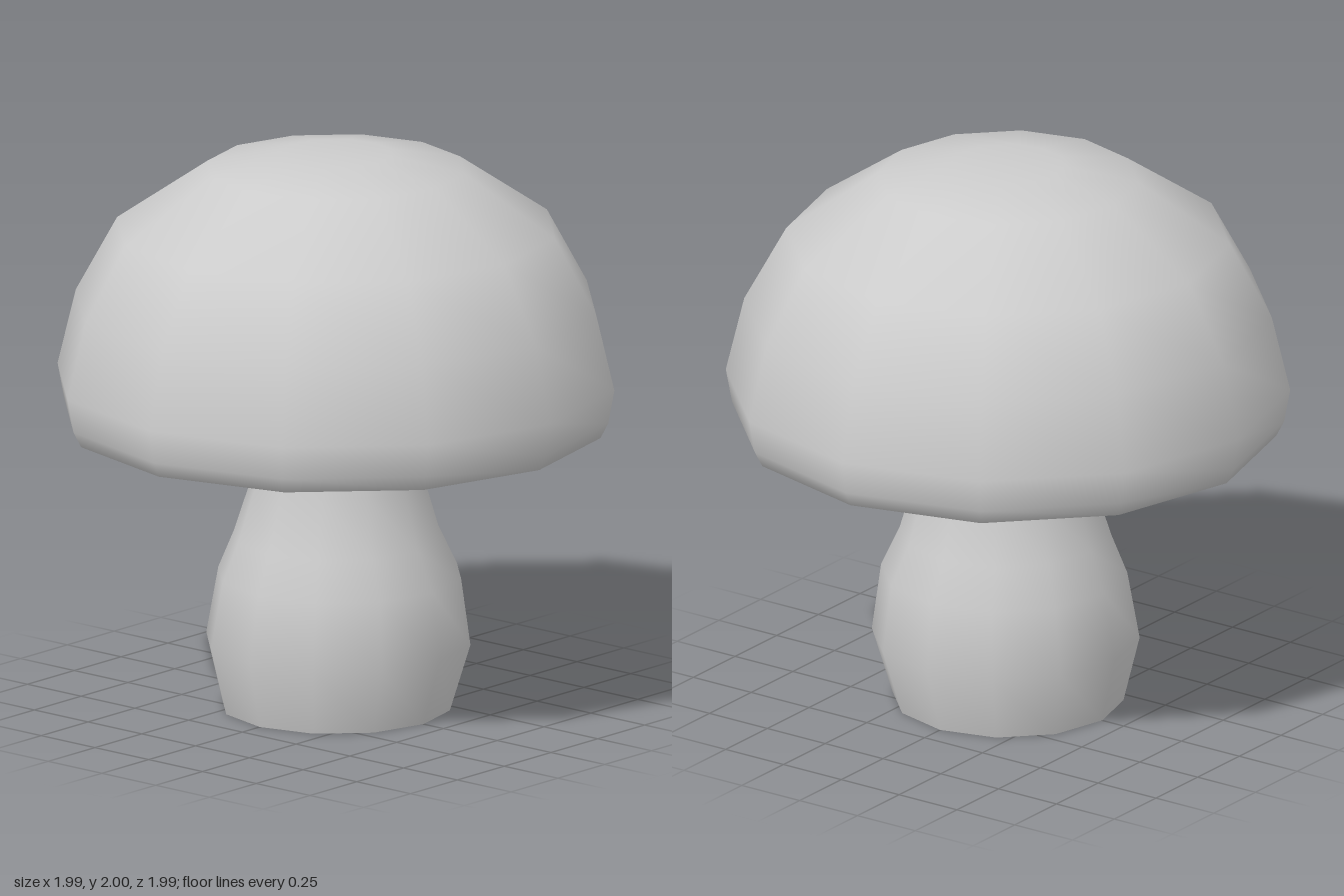
import * as THREE from 'three';

const SIDES = 12;

// Smooth-shaded 12-sided turned form from [radius, height] pairs, bottom to top
function turned(name, profile, material) {
  const points = profile.map(([r, y]) => new THREE.Vector2(r, y));
  const mesh = new THREE.Mesh(new THREE.LatheGeometry(points, SIDES), material);
  mesh.name = name;
  return mesh;
}

export function createModel() {
  const group = new THREE.Group();
  group.name = 'mushroom';
  const material = new THREE.MeshStandardMaterial({ color: 0xcccccc, side: THREE.DoubleSide });

  // Cap: hollowed underside, rolled rim, dome with a flattened crown
  const cap = turned('cap', [
    [0.25, 1.16], [0.885, 1.0], [0.945, 1.015], [0.973, 1.07],
    [0.995, 1.19], [0.93, 1.46], [0.782, 1.73], [0.46, 1.95], [0.2, 2.0], [0, 2.0],
  ], material);

  // Stem: bulbous, open at the bottom, with a slight lean
  const stem = turned('stem', [
    [0.407, 0], [0.472, 0.24], [0.434, 0.48], [0.372, 0.62],
    [0.307, 0.83], [0.283, 1.0], [0.25, 1.16],
  ], material);
  const lean = [[0, 0], [0.008, 0.004], [0.006, 0.012], [-0.004, 0.014], [-0.01, 0.022], [-0.005, 0.013], [0, 0]];
  const pos = stem.geometry.attributes.position;
  for (let i = 0; i < pos.count; i++) {
    const [dx, dz] = lean[i % lean.length];
    pos.setX(i, pos.getX(i) + dx);
    pos.setZ(i, pos.getZ(i) + dz);
  }

  group.add(cap, stem);
  return group;
}
